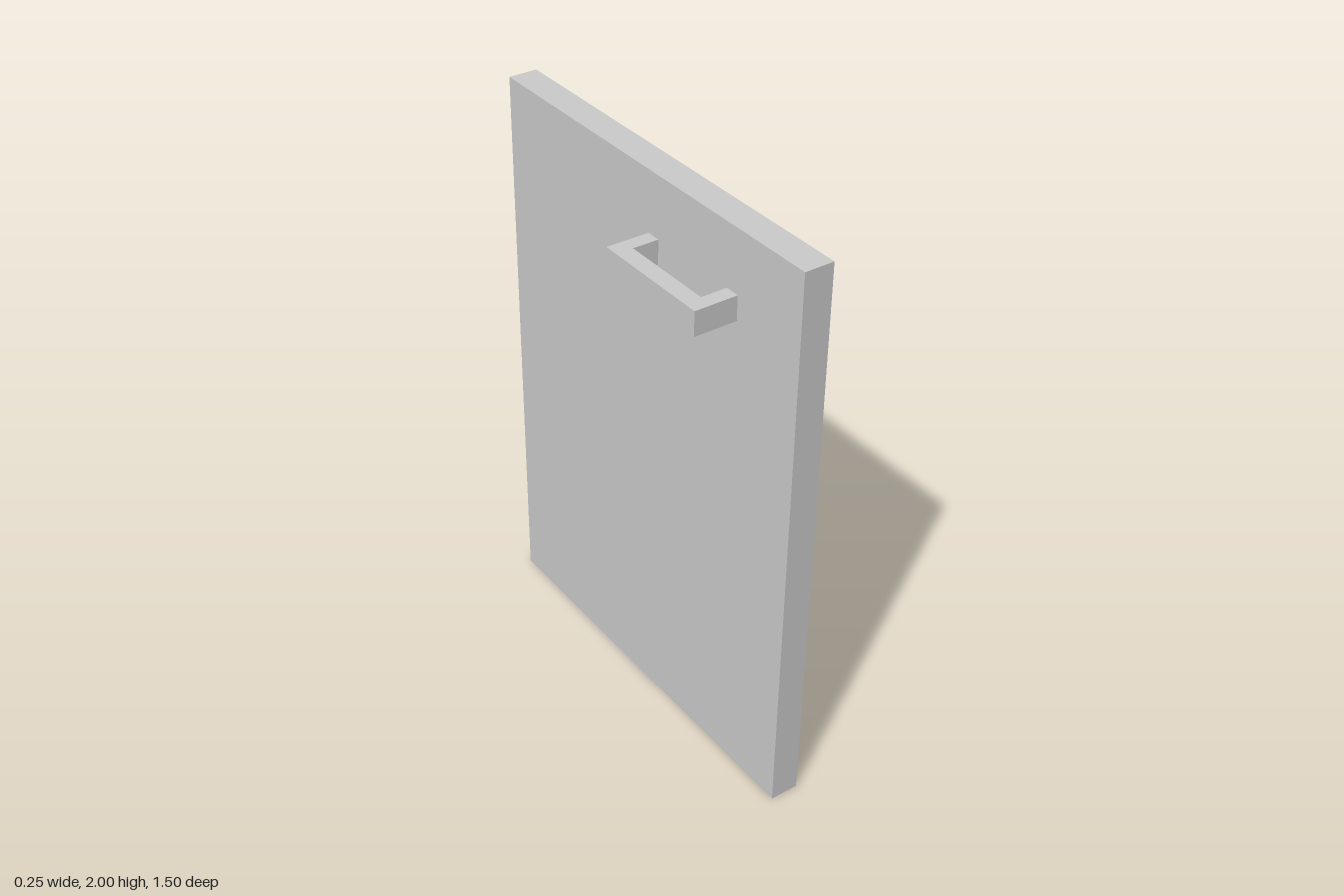
import * as THREE from 'three';

export function createModel() {
  const model = new THREE.Group();
  const material = new THREE.MeshStandardMaterial({ color: 0xcccccc, flatShading: true });

  // Flat upright panel
  const innerFace = 0.025, outerFace = 0.126;
  const panel = new THREE.Mesh(new THREE.BoxGeometry(outerFace - innerFace, 2, 1.5), material);
  panel.name = 'doorPanel';
  panel.position.set((innerFace + outerFace) / 2, 1, 0);
  model.add(panel);

  // U-shaped pull handle: plan outline as [x, z], extruded upwards
  const zBack = 0.028, zFront = 0.467, leg = 0.051;
  const gripOuter = -0.126, gripInner = -0.066;
  const outline = [
    [innerFace, zBack], [gripOuter, zBack], [gripOuter, zFront], [innerFace, zFront],
    [innerFace, zFront - leg], [gripInner, zFront - leg],
    [gripInner, zBack + leg], [innerFace, zBack + leg],
  ];
  const shape = new THREE.Shape(outline.map(([x, z]) => new THREE.Vector2(x, -z)));
  const geometry = new THREE.ExtrudeGeometry(shape, { depth: 0.085, bevelEnabled: false });
  geometry.rotateX(-Math.PI / 2);
  const handle = new THREE.Mesh(geometry, material);
  handle.name = 'handle';
  handle.position.y = 1.704;
  model.add(handle);

  return model;
}
